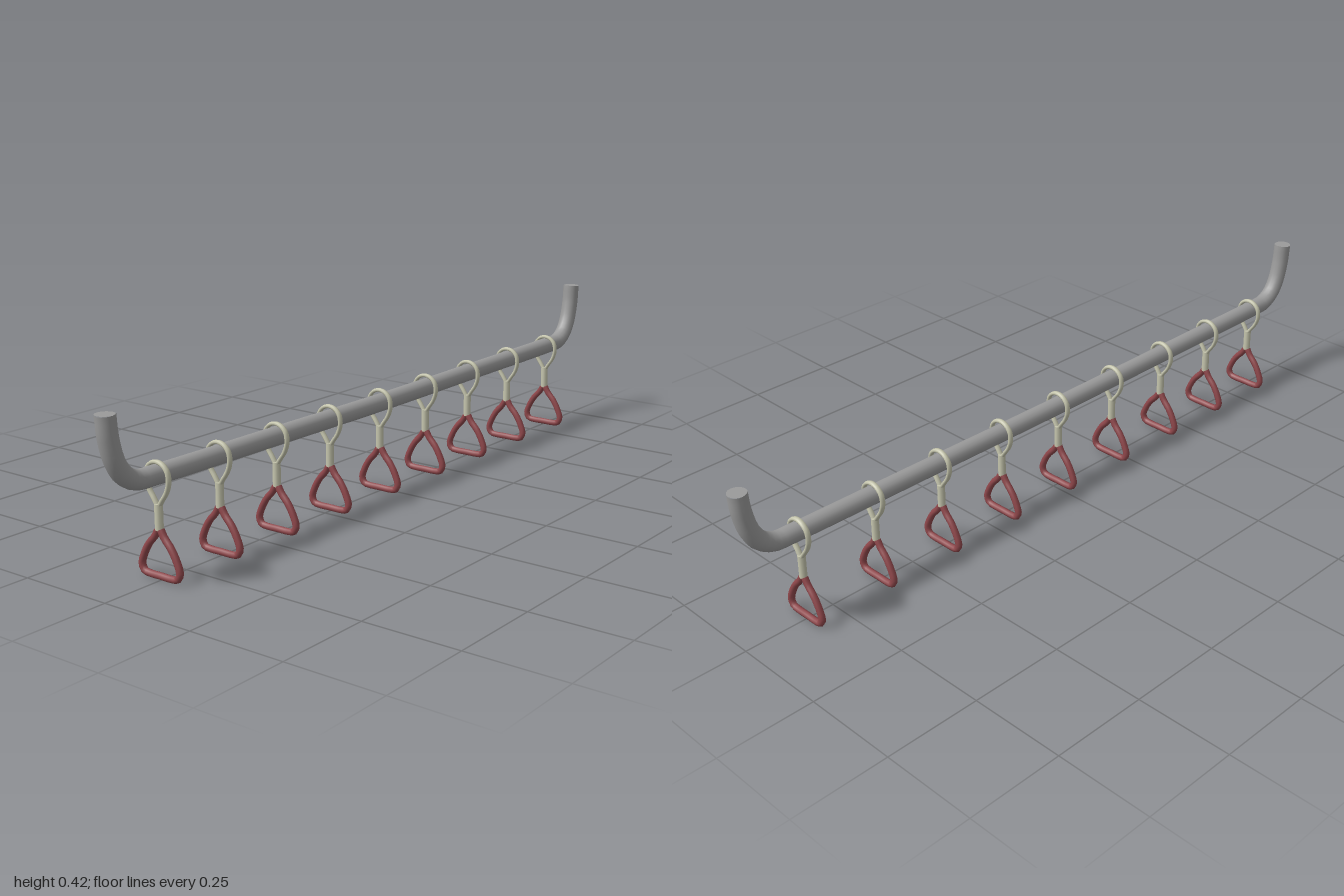
import * as THREE from 'three';

const metal = new THREE.MeshStandardMaterial({ name: 'greyMetal', color: 0x9a9a9a });
const strap = new THREE.MeshStandardMaterial({ name: 'creamStrap', color: 0xc6c6ae });
const grip = new THREE.MeshStandardMaterial({ name: 'redGrip', color: 0x8f474b });

// Mirror one half of a [z, y] outline into a full curve in the YZ plane
function mirroredCurve(half) {
  const back = half.slice(0, -1).reverse().map(([z, y]) => [-z, y]);
  return new THREE.CatmullRomCurve3(
    [...half, ...back].map(([z, y]) => new THREE.Vector3(0, y, z)), false, 'centripetal');
}

function named(geometry, material, name) {
  const mesh = new THREE.Mesh(geometry, material);
  mesh.name = name;
  return mesh;
}

// Overhead rail with upturned, capped ends
function makeRail() {
  const rail = new THREE.Group();
  rail.name = 'rail';
  const half = [[0.973, 0.413], [0.968, 0.36], [0.953, 0.305], [0.93, 0.27], [0.895, 0.25], [0.84, 0.247], [0.45, 0.244]];
  const points = [
    ...half.map(([x, y]) => [-x, y]), [0, 0.241], ...half.slice().reverse(),
  ].map(([x, y]) => new THREE.Vector3(x, y, 0));
  const radius = 0.0235;
  const curve = new THREE.CatmullRomCurve3(points, false, 'centripetal');
  rail.add(named(new THREE.TubeGeometry(curve, 120, radius, 16), metal, 'railTube'));
  for (const side of [-1, 1]) {
    const cap = named(new THREE.CircleGeometry(radius, 16), metal, 'railEndCap');
    cap.rotation.x = -Math.PI / 2;
    cap.position.set(side * 0.973, 0.413, 0);
    rail.add(cap);
  }
  return rail;
}

const loopGeometry = new THREE.TubeGeometry(mirroredCurve([
  [0.003, 0.174], [0.012, 0.188], [0.026, 0.208], [0.034, 0.232], [0.031, 0.256], [0.018, 0.27], [0, 0.275],
]), 32, 0.005, 8);
loopGeometry.scale(1.5, 1, 1);

const stemGeometry = new THREE.CylinderGeometry(0.01, 0.01, 0.061, 10);
stemGeometry.translate(0, 0.1485, 0);

const gripGeometry = new THREE.TubeGeometry(mirroredCurve([
  [0.004, 0.119], [0.014, 0.102], [0.034, 0.08], [0.05, 0.053], [0.0585, 0.027], [0.051, 0.012], [0.035, 0.009], [0, 0.009],
]), 40, 0.0088, 8);

// Hanging strap: loop over the rail, stem and triangular hand grip
function makeHanger(x) {
  const hanger = new THREE.Group();
  hanger.name = 'hangingStrap';
  hanger.add(
    named(loopGeometry, strap, 'strapLoop'),
    named(stemGeometry, strap, 'strapStem'),
    named(gripGeometry, grip, 'handGrip'));
  hanger.position.x = x;
  return hanger;
}

export function createModel() {
  const model = new THREE.Group();
  model.name = 'grabRail';
  model.add(makeRail());
  for (const x of [-0.83, -0.634, -0.433, -0.228, -0.018, 0.189, 0.397, 0.608, 0.825]) {
    model.add(makeHanger(x));
  }
  return model;
}
